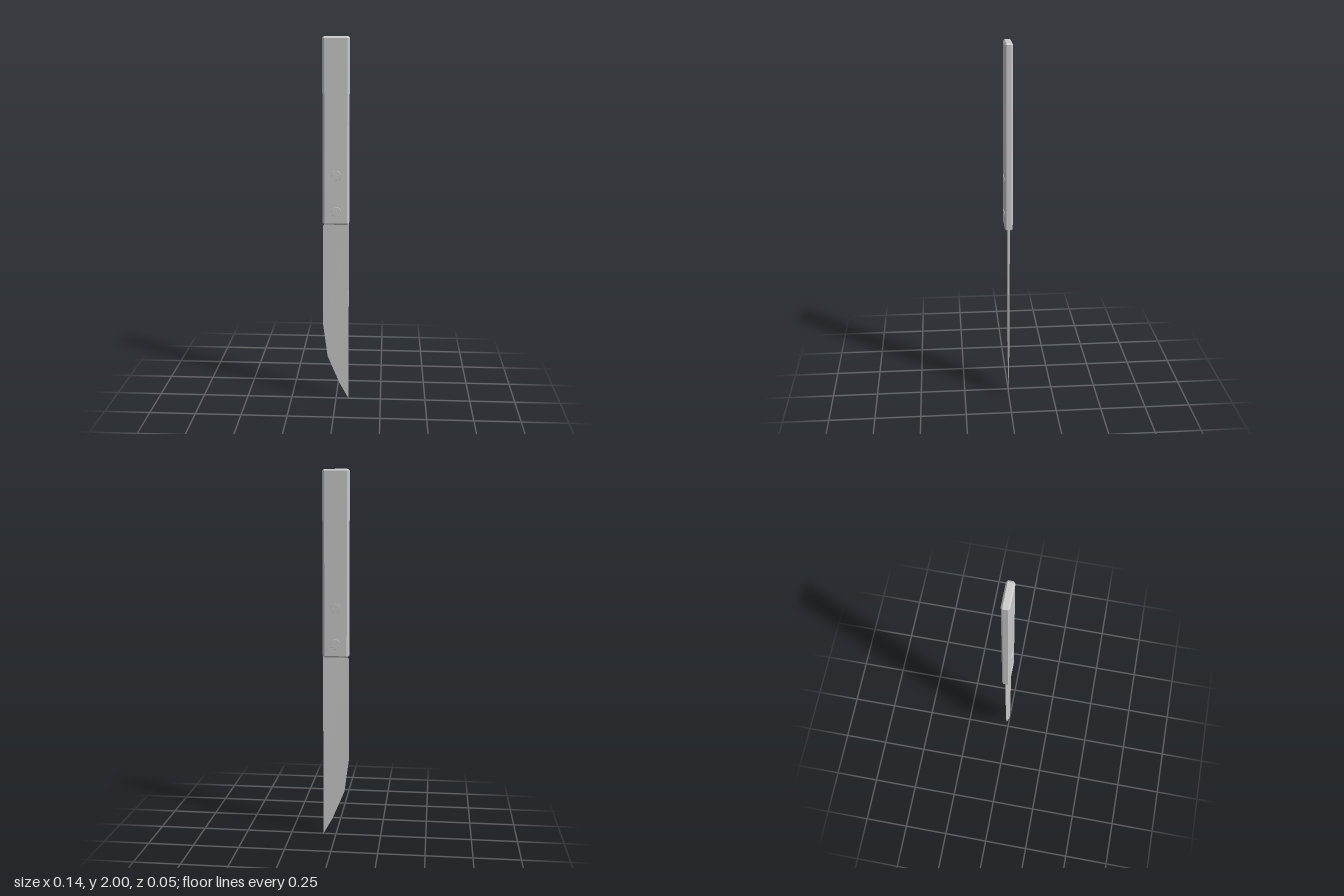
import * as THREE from 'three';
import { ConvexGeometry } from 'three/addons/geometries/ConvexGeometry.js';

const material = new THREE.MeshStandardMaterial({ color: 0xcccccc, flatShading: true });

function addMesh(group, name, geometry) {
  const mesh = new THREE.Mesh(geometry, material);
  mesh.name = name;
  group.add(mesh);
  return mesh;
}

// Box of half sizes hx, hy, hz with all edges cut by cx, cy, cz
function chamferedBox(hx, hy, hz, cx, cy, cz) {
  const points = [];
  for (const a of [-1, 1]) for (const b of [-1, 1]) for (const c of [-1, 1]) {
    points.push(
      new THREE.Vector3(a * hx, b * (hy - cy), c * (hz - cz)),
      new THREE.Vector3(a * (hx - cx), b * hy, c * (hz - cz)),
      new THREE.Vector3(a * (hx - cx), b * (hy - cy), c * hz)
    );
  }
  return new ConvexGeometry(points);
}

// Wedge sections from the handle to the tip: [height, x of cutting edge, half spine thickness]
function bladeGeometry() {
  const spineX = 0.07;
  const sections = [
    [1.02, -0.06, 0.005],
    [1.01, -0.062, 0.005],
    [0.995, -0.071, 0.005],
    [0.43, -0.071, 0.003],
    [0.25, -0.047, 0.002],
    [0.09, 0.02, 0.001],
    [0, spineX, 0]
  ];
  const positions = [];
  const index = [0, 2, 1];
  sections.forEach(([y, edgeX, t], row) => {
    positions.push(spineX, y, t, edgeX, y, 0, spineX, y, -t);
    if (row === 0) return;
    for (let i = 0; i < 3; i++) {
      const j = (i + 1) % 3;
      const up = (row - 1) * 3;
      const low = row * 3;
      index.push(up + i, up + j, low + j, up + i, low + j, low + i);
    }
  });
  const indexed = new THREE.BufferGeometry();
  indexed.setAttribute('position', new THREE.Float32BufferAttribute(positions, 3));
  indexed.setIndex(index);
  const geometry = indexed.toNonIndexed();
  geometry.computeVertexNormals();
  return geometry;
}

export function createModel() {
  const group = new THREE.Group();
  group.name = 'knife';

  // Handle
  const handle = addMesh(group, 'handle', chamferedBox(0.071, 0.4965, 0.021, 0.011, 0.009, 0.008));
  handle.position.y = 1.5035;

  // Blade
  addMesh(group, 'blade', bladeGeometry());

  // Rivets, each showing on both faces of the handle
  for (const y of [1.08, 1.275]) {
    for (const side of [-1, 1]) {
      const rivet = addMesh(group, 'rivet', new THREE.CylinderGeometry(0.026, 0.028, 0.006, 20));
      rivet.rotation.x = side * Math.PI / 2;
      rivet.position.set(0.002, y, side * 0.0205);
    }
  }
  return group;
}
